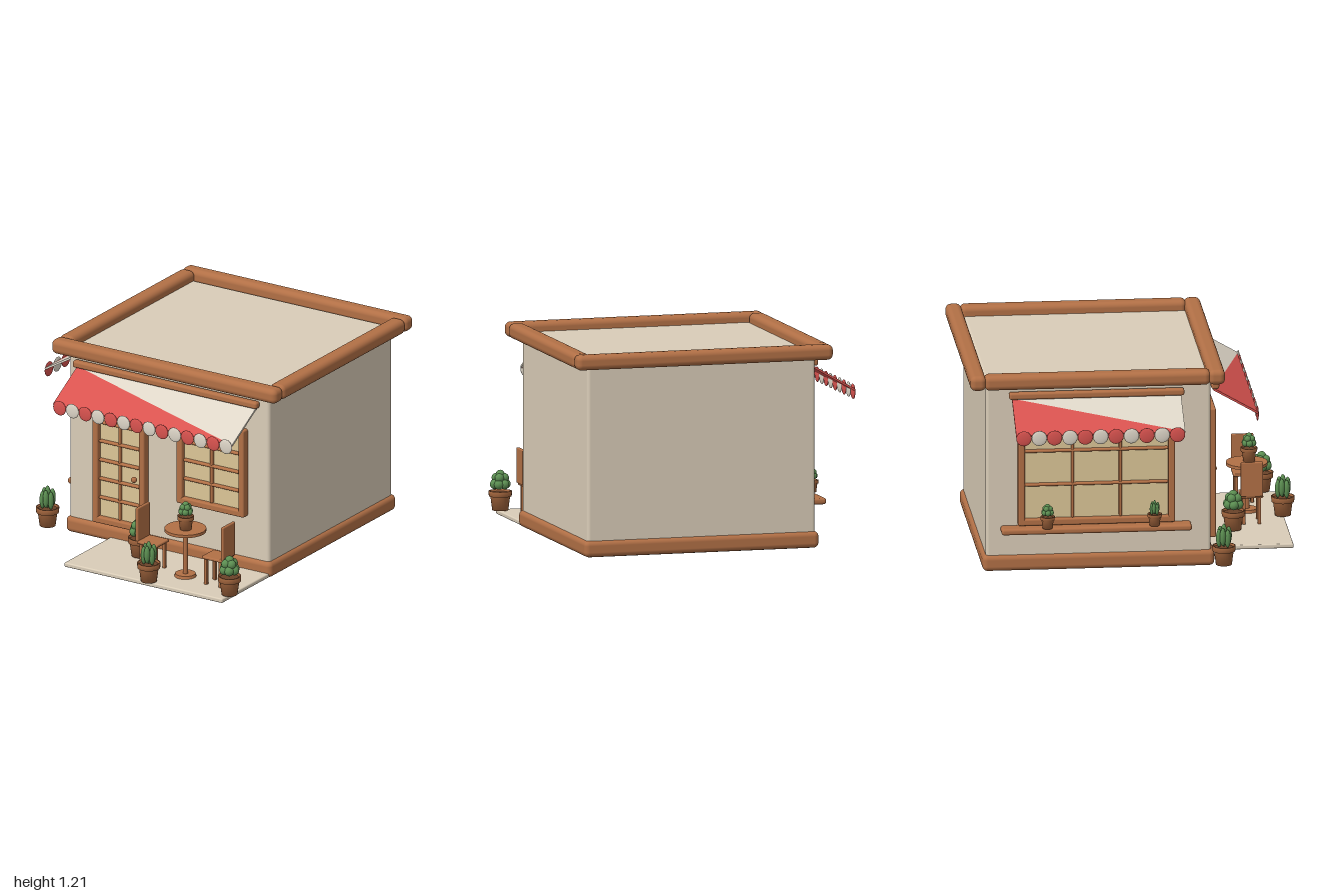
import * as THREE from 'three';
import { RoundedBoxGeometry } from 'three/addons/geometries/RoundedBoxGeometry.js';

const material = (name, color, side = THREE.FrontSide) => {
  const m = new THREE.MeshStandardMaterial({ color, side });
  m.name = name;
  return m;
};

export function createModel() {
  const plaster = material('plaster', 0xdacdb8);
  const wood = material('wood', 0xb27046);
  const clay = material('clay', 0xa2653d);
  const soil = material('soil', 0x6a4229);
  const glass = material('warm glass', 0xdcc697);
  const red = material('awning red', 0xd9534f);
  const cream = material('awning cream', 0xded6c8);
  const green = material('leaf green', 0x5c8f52);

  const model = new THREE.Group();
  model.name = 'cafe';

  const add = (parent, name, geometry, mat, x = 0, y = 0, z = 0) => {
    const mesh = new THREE.Mesh(geometry, mat);
    mesh.name = name;
    mesh.position.set(x, y, z);
    parent.add(mesh);
    return mesh;
  };
  // Rounded box given by its minimum and maximum corners
  const block = (parent, name, mat, a, b, r = 0.01) => {
    const s = b.map((v, i) => v - a[i]);
    const c = b.map((v, i) => (v + a[i]) / 2);
    const radius = Math.min(r, Math.min(...s) * 0.49);
    return add(parent, name, new RoundedBoxGeometry(...s, 3, radius), mat, ...c);
  };
  const group = (parent, name, x = 0, y = 0, z = 0, turn = 0) => {
    const g = new THREE.Group();
    g.name = name;
    g.position.set(x, y, z);
    g.rotation.y = turn;
    parent.add(g);
    return g;
  };
  const lathe = (points) =>
    new THREE.LatheGeometry(points.map(([x, y]) => new THREE.Vector2(x, y)), 24);

  // Building shell
  block(model, 'walls', plaster, [-0.596, 0, -0.905], [0.8, 1.155, 0.42], 0.02);
  block(model, 'plinth', wood, [-0.615, 0.002, -0.925], [0.82, 0.1, 0.44], 0.03);
  block(model, 'patio', plaster, [-0.3, 0.005, 0.4], [0.805, 0.032, 0.935], 0.008);

  // Roof edge beams
  block(model, 'frontCornice', wood, [-0.68, 1.122, 0.4], [0.89, 1.212, 0.497], 0.032);
  block(model, 'backCornice', wood, [-0.68, 1.122, -1.003], [0.89, 1.212, -0.91], 0.032);
  block(model, 'rightCornice', wood, [-0.68, 1.122, -0.92], [-0.58, 1.212, 0.41], 0.032);
  block(model, 'leftCornice', wood, [0.79, 1.122, -0.92], [0.89, 1.212, 0.41], 0.032);

  // Framed glazing: local origin at bottom centre on the wall, facing +z
  const glazing = (name, w, h, cols, rows, x, y, z, turn = 0) => {
    const g = group(model, name, x, y, z, turn);
    const f = 0.04, d = 0.048;
    for (const s of [-1, 1]) {
      const cx = s * (w - f) / 2;
      block(g, 'frameSide', wood, [cx - f / 2, 0, -0.01], [cx + f / 2, h, d]);
    }
    block(g, 'frameBottom', wood, [-w / 2, 0, -0.01], [w / 2, f, d]);
    block(g, 'frameTop', wood, [-w / 2, h - f, -0.01], [w / 2, h, d]);
    add(g, 'glass', new THREE.BoxGeometry(w - f, h - f, 0.008), glass, 0, h / 2, 0.012);
    for (let i = 1; i < cols; i++) {
      const cx = -w / 2 + f + (w - 2 * f) * i / cols;
      block(g, 'verticalBar', wood, [cx - 0.009, f, 0.01], [cx + 0.009, h - f, 0.035]);
    }
    for (let i = 1; i < rows; i++) {
      const cy = f + (h - 2 * f) * i / rows;
      block(g, 'crossBar', wood, [-w / 2 + f, cy - 0.009, 0.01], [w / 2 - f, cy + 0.009, 0.037]);
    }
    return g;
  };
  const door = glazing('door', 0.365, 0.787, 2, 6, -0.227, 0.115, 0.42);
  add(door, 'doorKnob', new THREE.SphereGeometry(0.018, 16, 12), wood, 0.124, 0.332, 0.064);
  glazing('frontWindow', 0.47, 0.545, 2, 4, 0.415, 0.357, 0.42);
  glazing('sideWindow', 0.925, 0.695, 3, 3, -0.596, 0.285, -0.257, -Math.PI / 2);
  block(model, 'sideSill', wood, [-0.69, 0.242, -0.82], [-0.59, 0.28, 0.3], 0.015);

  // Awnings: a two-tone sloping cloth with a row of scallops
  const awning = (name, w, count, x, z, turn = 0) => {
    const g = group(model, name, x, 0, z, turn);
    const hw = w / 2;
    block(g, 'roller', wood, [-hw - 0.018, 1.058, 0.008], [hw + 0.018, 1.1, 0.055], 0.014);
    const rise = 0.152, run = 0.262, len = Math.hypot(rise, run);
    const halves = [
      ['redCloth', red, [[-hw, 0], [hw, 0], [-hw, len]]],
      ['creamCloth', cream, [[hw, 0], [hw, len], [-hw, len]]],
    ];
    for (const [label, mat, pts] of halves) {
      const shape = new THREE.Shape(pts.map((p) => new THREE.Vector2(...p)));
      const cloth = add(g, label,
        new THREE.ExtrudeGeometry(shape, { depth: 0.012, bevelEnabled: false }),
        mat, 0, 0.898, 0.28);
      cloth.rotation.x = -Math.atan2(run, rise);
    }
    const step = w / count;
    const flap = new THREE.SphereGeometry(step / 2, 20, 12);
    flap.scale(1, 1, 0.17);
    for (let i = 0; i < count; i++) {
      add(g, 'scallop', flap, i % 2 ? cream : red, -hw + step * (i + 0.5), 0.889, 0.284);
    }
  };
  awning('frontAwning', 1.25, 14, 0.1, 0.42);
  awning('sideAwning', 0.995, 11, -0.6, -0.257, -Math.PI / 2);

  // Potted plants
  const potGeometry = lathe([[0, 0], [0.047, 0], [0.058, 0.083], [0.067, 0.083],
    [0.069, 0.115], [0.059, 0.115], [0.057, 0.1]]);
  const soilGeometry = new THREE.CylinderGeometry(0.058, 0.058, 0.006, 20);
  const ball = new THREE.SphereGeometry(1, 12, 9);
  const plant = (kind, x, y, z, size = 1) => {
    const g = group(model, kind + 'Pot', x, y, z);
    g.scale.setScalar(size);
    add(g, 'pot', potGeometry, clay);
    add(g, 'soil', soilGeometry, soil, 0, 0.101, 0);
    const leaf = (r, a, cy, sx, sy) =>
      add(g, 'leaf', ball, green, r * Math.cos(a), cy, r * Math.sin(a)).scale.set(sx, sy, sx);
    if (kind === 'cactus') {
      leaf(0, 0, 0.178, 0.02, 0.07);
      for (let i = 0; i < 6; i++) leaf(0.03, i * Math.PI / 3 + 0.3, 0.162 + (i % 2) * 0.012, 0.018, 0.055);
    } else {
      for (let i = 0; i < 6; i++) leaf(0.034, i * Math.PI / 3, 0.155, 0.029, 0.029);
      for (let i = 0; i < 4; i++) leaf(0.024, i * Math.PI / 2 + 0.5, 0.192, 0.028, 0.028);
      leaf(0, 0, 0.212, 0.027, 0.027);
    }
  };
  plant('cactus', -0.706, 0.038, 0.485);
  plant('cactus', 0.288, 0.038, 0.928);
  plant('bush', 0.017, 0.038, 0.61);
  plant('bush', 0.803, 0.038, 0.853);
  plant('bush', 0.425, 0.332, 0.742, 0.72);
  plant('cactus', -0.677, 0.279, 0.08, 0.62);
  plant('bush', -0.677, 0.279, -0.55, 0.62);

  // Round table
  const table = group(model, 'table', 0.414, 0, 0.728);
  add(table, 'tableTop', new THREE.CylinderGeometry(0.123, 0.123, 0.018, 32), wood, 0, 0.323, 0);
  add(table, 'tableCollar', new THREE.CylinderGeometry(0.06, 0.05, 0.012, 24), wood, 0, 0.309, 0);
  add(table, 'tableStem', new THREE.CylinderGeometry(0.015, 0.015, 0.28, 16), wood, 0, 0.17, 0);
  add(table, 'tableFoot', new THREE.CylinderGeometry(0.06, 0.065, 0.018, 24), wood, 0, 0.04, 0);

  // Chairs facing the table, with the back at local -x
  const chair = (name, x, turn) => {
    const g = group(model, name, x, 0, 0.73, turn);
    block(g, 'seat', wood, [-0.07, 0.192, -0.067], [0.073, 0.21, 0.067], 0.007);
    block(g, 'backrest', wood, [-0.08, 0.205, -0.066], [-0.06, 0.415, 0.066], 0.007);
    for (const lx of [-0.048, 0.052]) {
      for (const lz of [-0.046, 0.046]) {
        block(g, 'chairLeg', wood, [lx - 0.01, 0.03, lz - 0.01], [lx + 0.01, 0.195, lz + 0.01], 0.004);
      }
    }
  };
  chair('rightChair', 0.187, 0);
  chair('leftChair', 0.643, Math.PI);

  return model;
}
